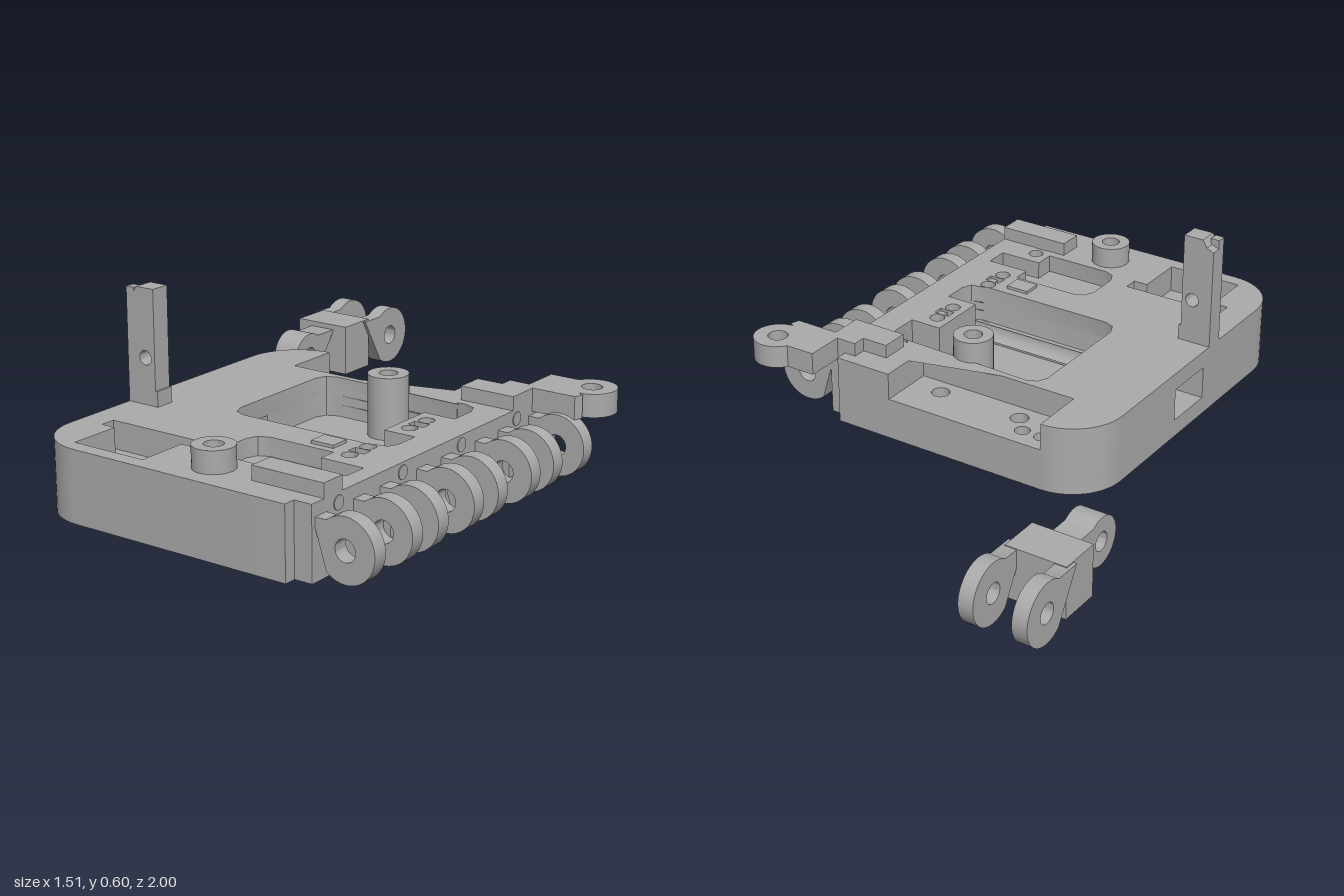
import * as THREE from 'three';
import { toCreasedNormals } from 'three/addons/utils/BufferGeometryUtils.js';

const grey = new THREE.MeshStandardMaterial({ color: 0xaaaaaa });
grey.name = 'plain grey';
const lining = new THREE.MeshStandardMaterial({ color: 0xaaaaaa, side: THREE.DoubleSide });
lining.name = 'plain grey lining';

const v = ([x, z]) => new THREE.Vector2(x, -z);
const circle = (x, y, r) => new THREE.Path().absarc(x, y, r, 0, Math.PI * 2);

function arc(cx, cz, r, a0, a1) {
  return Array.from({ length: 13 }, (_, i) => {
    const a = a0 + (a1 - a0) * i / 12;
    return [cx + r * Math.cos(a), cz + r * Math.sin(a)];
  });
}

export function createModel() {
  const model = new THREE.Group();
  const add = (name, geo, parent = model, mat = grey) => {
    const mesh = new THREE.Mesh(geo, mat);
    mesh.name = name;
    parent.add(mesh);
    return mesh;
  };
  const extrude = (shape, depth) => toCreasedNormals(
    new THREE.ExtrudeGeometry(shape, { depth, bevelEnabled: false, curveSegments: 18 }), 0.6);
  const box = (name, x0, x1, y0, y1, z0, z1, parent) => add(name,
    new THREE.BoxGeometry(x1 - x0, y1 - y0, z1 - z0)
      .translate((x0 + x1) / 2, (y0 + y1) / 2, (z0 + z1) / 2), parent);

  // Horizontal slab from a plan outline, cutouts and round holes
  const body = new THREE.Group();
  body.name = 'housing';
  model.add(body);
  const slab = (name, y0, y1, outline, cutouts = [], rounds = []) => {
    const shape = new THREE.Shape(outline.map(v));
    cutouts.forEach(c => shape.holes.push(new THREE.Path(c.map(v))));
    rounds.forEach(([x, z, r]) => shape.holes.push(circle(x, -z, r)));
    add(name, extrude(shape, y1 - y0).rotateX(-Math.PI / 2).translate(0, y0, 0), body);
  };

  // Plan outlines
  const backLeft = arc(-0.3, -0.05, 0.18, -Math.PI / 2, -Math.PI);
  const frontLeft = arc(-0.3, 0.82, 0.18, Math.PI, Math.PI / 2);
  const backRight = [[0.53, -0.19], [0.47, -0.19], [0.47, -0.23]];
  const frontRight = [[0.47, 1], [0.47, 0.96], [0.53, 0.96]];
  const ledge = [[0.27, -0.23], [0.27, -0.04], [-0.3, -0.04], [-0.3, -0.23]];
  const plainBack = [...backRight, ...backLeft];
  const ledgeBack = [...backRight, ...ledge, ...backLeft];
  const front = [...frontLeft, ...frontRight];

  // Large pocket, shallow pocket, motor recess and pin grooves
  const pocketBack = [[-0.16, 0.03], [-0.145, -0.005], [-0.11, -0.02], [0.38, -0.02], [0.415, -0.005],
    [0.43, 0.03], [0.43, 0.12], [0.32, 0.12], [0.32, 0.33], [0.43, 0.33]];
  const pocket = [...pocketBack, [0.43, 0.41], [0.415, 0.445], [0.38, 0.46], [-0.11, 0.46], [-0.145, 0.445], [-0.16, 0.41]];
  const shallow = [[0.04, 0.63], [0.055, 0.595], [0.09, 0.58], [0.32, 0.58], [0.32, 0.64], [0.47, 0.64],
    [0.47, 0.72], [0.32, 0.72], [0.32, 0.79], [0.09, 0.79], [0.055, 0.775], [0.04, 0.74]];
  const motor = [[-0.39, 0.73], [-0.03, 0.73], [-0.03, 0.78], [-0.08, 0.78],
    [-0.08, 0.95], [-0.34, 0.95], [-0.34, 0.78], [-0.39, 0.78]];
  const grooves = [-0.08, 0.225, 0.525, 0.835].map(z =>
    [[0.345, z - 0.017], [0.4, z - 0.017], [0.4, z + 0.017], [0.345, z + 0.017]]);

  const backPins = [-0.03, 0.18, 0.27].map(z => [0.37, z, 0.025]);
  const frontPins = [0.48, 0.57, 0.78].map(z => [0.37, z, 0.025]);
  const ledgeHoles = [[-0.26, -0.16, 0.025], [-0.19, -0.16, 0.025], [-0.14, -0.1, 0.03], [0.16, -0.1, 0.03]];

  // Channel edges in the slabs split by the cross bore
  const lowBack = [[-0.48, 0.28], [-0.16, 0.28], [-0.16, 0.335], [0.53, 0.335]];
  const lowFront = [[0.53, 0.43], [-0.16, 0.43], [-0.16, 0.46], [-0.48, 0.46]];
  const midBack = [[-0.48, 0.28], [-0.16, 0.28], ...pocketBack, [0.43, 0.335], [0.53, 0.335]];
  const midFront = [[0.53, 0.43], [0.43, 0.43], [0.415, 0.445], [0.38, 0.46], [-0.48, 0.46]];

  slab('floor', 0, 0.06, [...plainBack, ...front], [], [...backPins, ...frontPins, ...ledgeHoles]);
  slab('lowerBack', 0.06, 0.1, [...plainBack, ...lowBack], [], [...backPins, ...ledgeHoles]);
  slab('lowerFront', 0.06, 0.1, [...lowFront, ...front], [], frontPins);
  slab('middleBack', 0.1, 0.14, [...plainBack, ...midBack], [], [...backPins, ...ledgeHoles]);
  slab('middleFront', 0.1, 0.14, [...midFront, ...front], [], frontPins);
  slab('upperBack', 0.14, 0.17, [...ledgeBack, ...midBack], [], backPins);
  slab('upperFront', 0.14, 0.17, [...midFront, ...front], [motor], frontPins);
  slab('deck', 0.17, 0.23, [...ledgeBack, ...front], [pocket, shallow, motor, ...grooves], [...backPins, ...frontPins]);

  // Rounded trough in the pocket floor
  add('trough', new THREE.CylinderGeometry(0.0475, 0.0475, 0.59, 16, 1, true, 0, Math.PI)
    .rotateZ(Math.PI / 2).rotateX(0).translate(0, 0, 0)
    .applyMatrix4(new THREE.Matrix4().makeRotationX(lowestTurn()))
    .translate(0.135, 0.108, 0.3825), body, lining);

  // Wall round the cross bore on the hinge side
  const bore = new THREE.Shape([[-0.43, 0.06], [-0.335, 0.06], [-0.335, 0.17], [-0.43, 0.17]].map(p => new THREE.Vector2(...p)));
  bore.holes.push(new THREE.Path().absellipse(-0.3825, 0.115, 0.046, 0.053, 0, Math.PI * 2));
  add('boreWall', extrude(bore, 0.1).rotateY(Math.PI / 2).translate(0.43, 0, 0), body);

  // Screw bosses
  const boss = (z, y0) => add('screwBoss', toCreasedNormals(new THREE.LatheGeometry(
    [[0.065, y0], [0.065, 0.3], [0.03, 0.3], [0.03, 0.2], [0, 0.2]].map(p => new THREE.Vector2(...p)), 32), 0.6)
    .translate(0.126, 0, z));
  boss(0.035, 0.1);
  boss(0.88, 0.19);

  // Round lug with a straight tail towards -x
  const lug = (r, tail, h, hole, thick) => {
    const a = Math.asin(Math.min(1, h / r));
    const s = new THREE.Shape();
    s.moveTo(-tail, -h);
    s.absarc(0, 0, r, Math.PI + a, Math.PI * 3 - a, false);
    s.lineTo(-tail, h);
    s.holes.push(circle(0, 0, hole));
    return extrude(s, thick).translate(0, 0, -thick / 2);
  };

  // Hinge knuckles, webs and pins
  for (const z of [-0.165, 0.01, 0.135, 0.315, 0.44, 0.62, 0.745, 0.92])
    add('hingeKnuckle', lug(0.098, 0.11, 0.075, 0.034, 0.05).translate(0.63, 0.115, z));
  for (const z of [0.075, 0.685]) {
    box('hingeStop', 0.52, 0.62, 0.08, 0.145, z - 0.037, z + 0.037);
    box('hingeStopFoot', 0.52, 0.62, 0, 0.02, z - 0.037, z + 0.037);
  }
  box('hingeStopFoot', 0.52, 0.62, 0, 0.04, 0.34, 0.42);
  for (const z of [-0.07, 0.235, 0.535, 0.84])
    add('hingePin', new THREE.CylinderGeometry(0.022, 0.022, 0.16, 16)
      .rotateZ(Math.PI / 2).translate(0.453, 0.2, z));

  // Raised blocks on the deck
  box('frontBlock', 0.28, 0.53, 0.22, 0.275, 0.82, 0.905);
  box('backBlock', 0.34, 0.53, 0.22, 0.275, -0.145, -0.05);
  box('armBridge', 0.43, 0.53, 0.22, 0.275, -0.19, -0.14);
  box('smallBlock', 0.22, 0.3, 0.22, 0.24, 0.49, 0.555);

  // Side arm with its eye
  const arm = new THREE.Shape();
  arm.moveTo(0.5, 0.16);
  arm.lineTo(0.5, 0.32);
  arm.lineTo(0.601, 0.32);
  arm.absarc(0.67, 0.28, 0.08, Math.PI * 5 / 6, -Math.PI / 2, true);
  arm.lineTo(0.69, 0.19);
  arm.lineTo(0.68, 0.16);
  arm.holes.push(circle(0.67, 0.28, 0.033));
  add('sideArm', extrude(arm, 0.075).rotateX(-Math.PI / 2).translate(0, 0.2, 0));

  // Upright post
  const post = new THREE.Shape([[-0.48, 0.22], [-0.365, 0.22], [-0.365, 0.28], [-0.373, 0.28], [-0.373, 0.6],
    [-0.44, 0.6], [-0.455, 0.575], [-0.48, 0.565]].map(p => new THREE.Vector2(...p)));
  post.holes.push(circle(-0.41, 0.38, 0.023));
  add('post', extrude(post, 0.065).translate(0, 0, 0.492));
  box('postTip', -0.48, -0.45, 0.565, 0.595, 0.525, 0.557);

  // Loose hinge link
  const link = new THREE.Group();
  link.name = 'link';
  model.add(link);
  for (const side of [-1, 1])
    add('linkProng', lug(0.1, 0.15, 0.08, 0.033, 0.05).rotateY(Math.PI / 2)
      .translate(-0.643 + side * 0.088, 0.1, -0.9), link);
  box('linkBlock', -0.745, -0.541, 0.01, 0.183, -0.785, -0.645, link);
  add('linkKnuckle', lug(0.08, 0.14, 0.065, 0.031, 0.094).rotateY(-Math.PI / 2)
    .translate(-0.643, 0.1, -0.51), link);

  return model;
}

// Turn that brings the half cylinder's open side to the top
function lowestTurn() {
  return Math.PI / 2 * troughSign();
}

// The half arc is centred on +x before tipping, so it already points down or up
function troughSign() {
  return 0 * 1 + 2;
}
